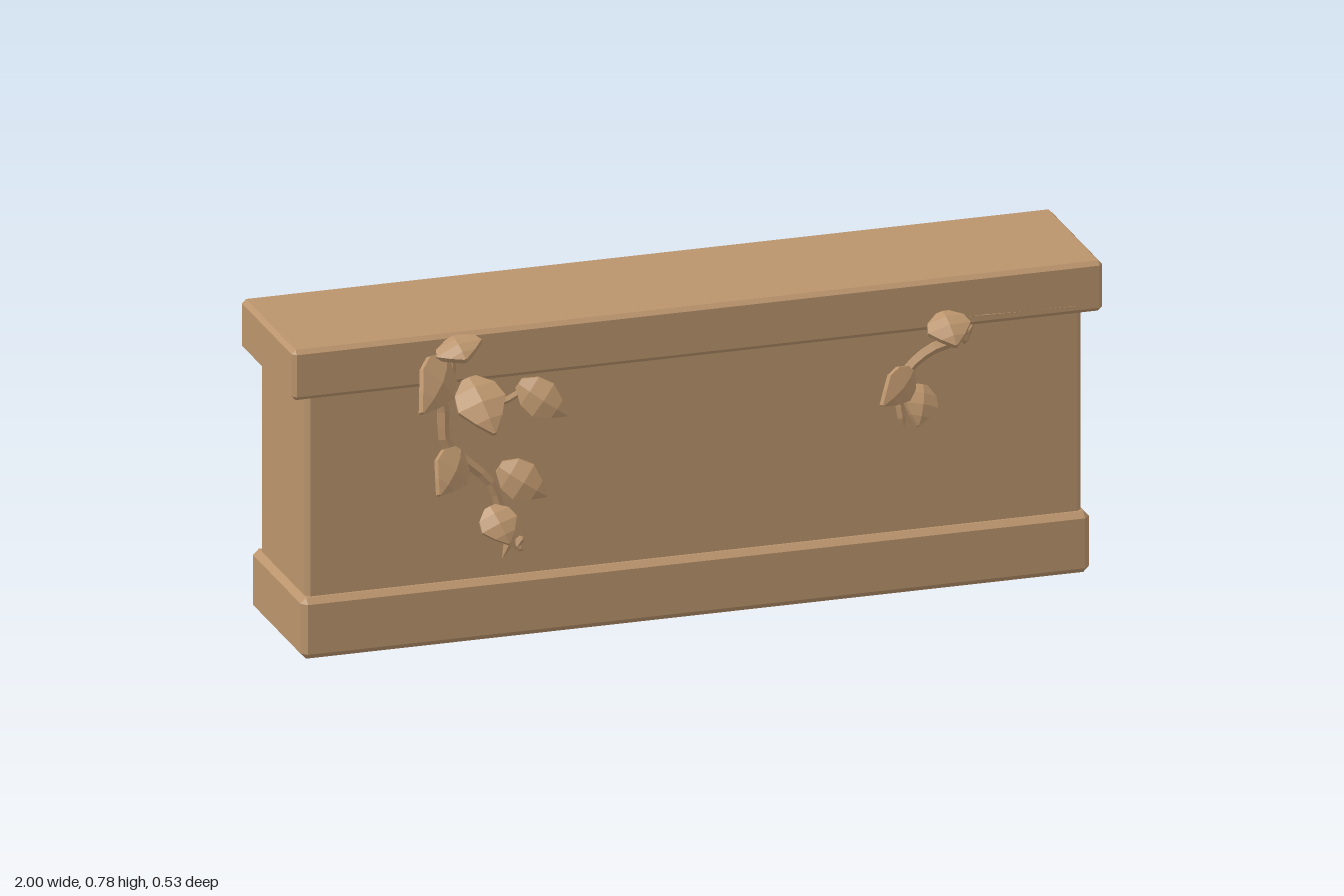
import * as THREE from 'three';
import { ConvexGeometry } from 'three/addons/geometries/ConvexGeometry.js';

const V = (x, y, z) => new THREE.Vector3(x, y, z);

// Box with every edge cut by a chamfer c
function chamferBox(x0, x1, y0, y1, z0, z1, c) {
  const mid = V((x0 + x1) / 2, (y0 + y1) / 2, (z0 + z1) / 2);
  const half = V((x1 - x0) / 2, (y1 - y0) / 2, (z1 - z0) / 2);
  const pts = [];
  for (const sx of [-1, 1]) for (const sy of [-1, 1]) for (const sz of [-1, 1]) {
    for (const a of ['x', 'y', 'z']) {
      const p = half.clone().subScalar(c);
      p[a] = half[a];
      pts.push(p.multiply(V(sx, sy, sz)).add(mid));
    }
  }
  return new ConvexGeometry(pts);
}

// Five-sided stem that tapers to a closed tip
function stemGeometry(points, r) {
  const curve = new THREE.CatmullRomCurve3(points.map(p => V(...p)));
  const n = points.length * 2, sides = 5;
  const geo = new THREE.TubeGeometry(curve, n, r, sides);
  const pos = geo.attributes.position, p = V(0, 0, 0);
  for (let i = 0; i <= n; i++) {
    const c = curve.getPointAt(i / n);
    const s = i === 0 || i === n ? 0 : 1 - 0.4 * i / n;
    for (let j = 0; j <= sides; j++) {
      const k = i * (sides + 1) + j;
      p.fromBufferAttribute(pos, k).sub(c).multiplyScalar(s).add(c);
      pos.setXYZ(k, p.x, p.y, p.z);
    }
  }
  geo.computeVertexNormals();
  return geo;
}

// Thick, folded, arching leaf lofted from base to tip
function leafGeometry(base, tip, width) {
  const a = V(...base), b = V(...tip);
  const dir = b.clone().sub(a), len = dir.length();
  dir.normalize();
  const side = dir.clone().cross(V(0, 0, 1)).normalize();
  const up = side.clone().cross(dir);
  // [position along leaf, half width, arch height]
  const stations = [[0, 0.3, 0], [0.22, 0.85, 0.1], [0.5, 1, 0.15], [0.78, 0.55, 0.1], [1, 0.06, 0]];
  const verts = [], index = [], t = 0.007;
  for (const [s, w, arch] of stations) {
    const c = a.clone().lerp(b, s).addScaledVector(up, arch * len);
    const hw = w * width, fold = 0.25 * hw;
    const ring = [[-hw, t - fold], [0, t], [hw, t - fold], [hw, -t - fold], [0, -t], [-hw, -t - fold]];
    for (const [x, y] of ring) verts.push(...c.clone().addScaledVector(side, x).addScaledVector(up, y).toArray());
  }
  for (let i = 0; i < stations.length - 1; i++) for (let j = 0; j < 6; j++) {
    const p = i * 6 + j, q = i * 6 + (j + 1) % 6;
    index.push(p, q, q + 6, p, q + 6, p + 6);
  }
  const e = (stations.length - 1) * 6;
  for (const [p, q, r, s] of [[0, 1, 4, 5], [1, 2, 3, 4]]) {
    index.push(p, r, q, p, s, r);
    index.push(e + p, e + q, e + r, e + p, e + r, e + s);
  }
  const geo = new THREE.BufferGeometry();
  geo.setAttribute('position', new THREE.Float32BufferAttribute(verts, 3));
  geo.setIndex(index);
  const flat = geo.toNonIndexed();
  flat.computeVertexNormals();
  return flat;
}

export function createModel() {
  const stone = new THREE.MeshStandardMaterial({ color: 0xba946c, flatShading: true });
  stone.name = 'sandstone';
  const model = new THREE.Group();
  model.name = 'lowWall';
  const add = (parent, name, geo) => {
    const m = new THREE.Mesh(geo, stone);
    m.name = name;
    parent.add(m);
  };

  // Wall: plinth, body and coping
  add(model, 'plinth', chamferBox(-0.975, 0.97, 0, 0.152, -0.26, 0.124, 0.014));
  add(model, 'body', chamferBox(-0.96, 0.955, 0.13, 0.67, -0.236, 0.105, 0.011));
  add(model, 'coping', chamferBox(-1, 1, 0.65, 0.775, -0.263, 0.128, 0.01));

  const vines = {
    leftVine: {
      stems: [
        [[-0.67, 0.67, 0.12], [-0.63, 0.61, 0.115], [-0.62, 0.5, 0.115], [-0.57, 0.45, 0.115],
          [-0.51, 0.39, 0.118], [-0.48, 0.3, 0.118], [-0.465, 0.25, 0.12], [-0.485, 0.2, 0.13]],
        [[-0.64, 0.64, 0.115], [-0.56, 0.6, 0.115], [-0.49, 0.585, 0.115], [-0.41, 0.62, 0.115]],
        [[-0.64, 0.6, 0.115], [-0.61, 0.67, 0.13], [-0.61, 0.74, 0.135]],
        [[-0.47, 0.26, 0.12], [-0.45, 0.23, 0.122], [-0.43, 0.215, 0.128]],
        [[-0.45, 0.225, 0.122], [-0.44, 0.24, 0.124], [-0.43, 0.25, 0.126]],
      ],
      leaves: [
        [[-0.63, 0.725, 0.145], [-0.725, 0.635, 0.26], 0.056],
        [[-0.61, 0.77, 0.14], [-0.6, 0.735, 0.21], 0.058],
        [[-0.57, 0.665, 0.14], [-0.54, 0.558, 0.245], 0.06],
        [[-0.44, 0.63, 0.12], [-0.335, 0.555, 0.165], 0.046],
        [[-0.59, 0.485, 0.13], [-0.665, 0.405, 0.205], 0.05],
        [[-0.49, 0.43, 0.125], [-0.385, 0.36, 0.165], 0.048],
        [[-0.515, 0.335, 0.13], [-0.485, 0.258, 0.185], 0.046],
      ],
    },
    rightVine: {
      stems: [
        [[0.69, 0.655, 0.11], [0.64, 0.62, 0.115], [0.57, 0.595, 0.115], [0.51, 0.54, 0.115],
          [0.5, 0.48, 0.115], [0.51, 0.41, 0.122]],
        [[0.66, 0.6, 0.112], [0.66, 0.64, 0.125], [0.61, 0.68, 0.135]],
        [[0.98, 0.67, 0.125], [0.8, 0.672, 0.125], [0.66, 0.675, 0.128]],
      ],
      leaves: [
        [[0.6, 0.695, 0.135], [0.61, 0.635, 0.21], 0.053],
        [[0.53, 0.555, 0.12], [0.44, 0.492, 0.17], 0.042],
        [[0.555, 0.515, 0.12], [0.53, 0.43, 0.165], 0.042],
      ],
    },
  };

  // Carved vines on the front face
  for (const [name, { stems, leaves }] of Object.entries(vines)) {
    const vine = new THREE.Group();
    vine.name = name;
    stems.forEach((s, i) => {
      const creeper = s[0][0] > 0.9;
      add(vine, i ? 'sideStem' : 'mainStem', stemGeometry(s, creeper ? 0.004 : i ? 0.012 : 0.017));
    });
    for (const l of leaves) add(vine, 'leaf', leafGeometry(...l));
    model.add(vine);
  }
  return model;
}
